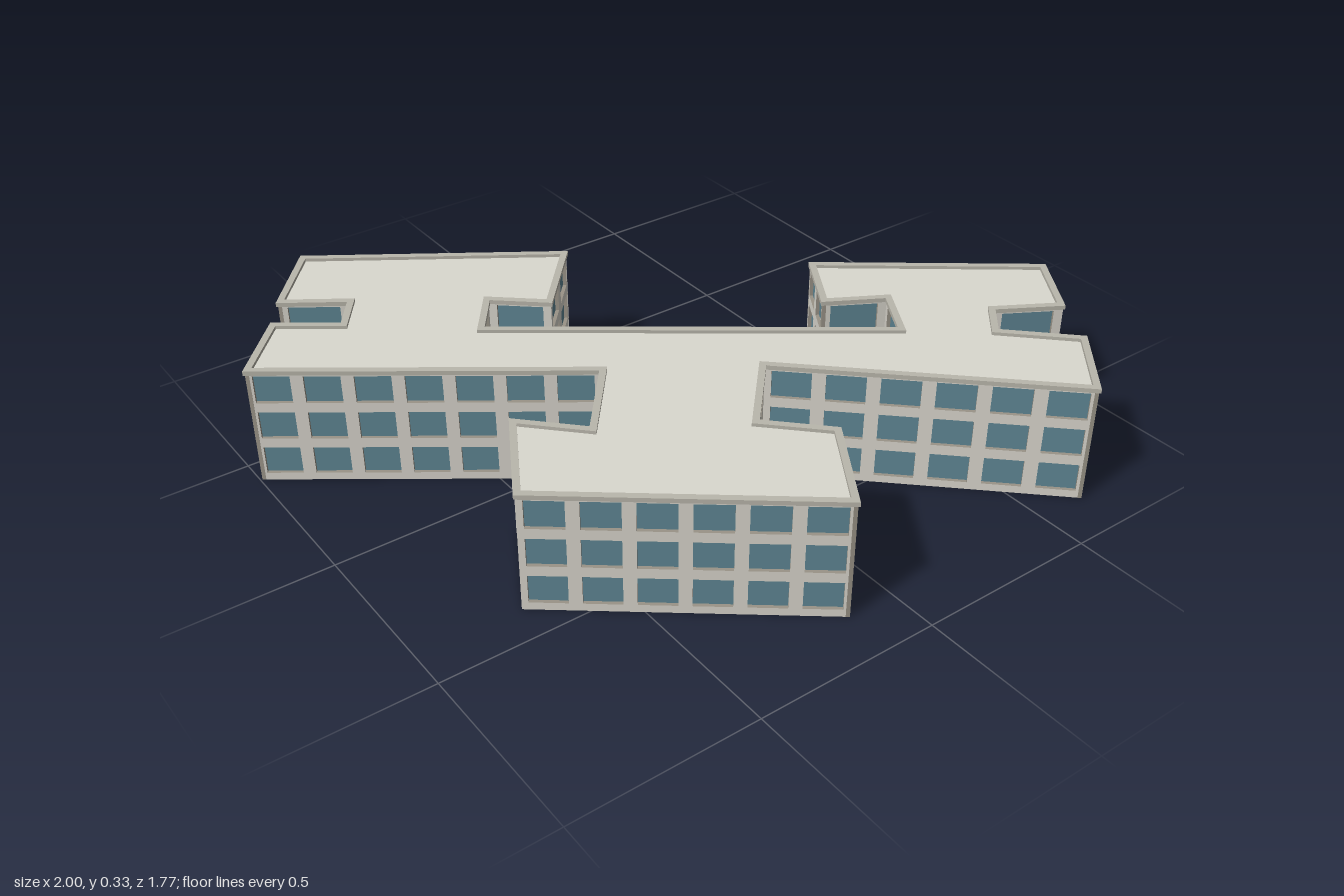
import * as THREE from 'three';

const material = (name, color) => {
  const m = new THREE.MeshStandardMaterial({ color, side: THREE.DoubleSide });
  m.name = name;
  return m;
};
const wallMat = material('pale concrete', 0xd9d6cd);
const revealMat = material('window reveal', 0x9a9488);
const glassMat = material('blue grey glass', 0x5f8694);
const roofMat = material('light grey roof', 0xdad9cf);
const rimMat = material('parapet grey', 0xbab7ac);

// Wall footprint (x, z), clockwise seen from above
const FOOTPRINT = [
  [-0.625, -0.88], [-0.02, -0.47], [-0.205, -0.26], [-0.33, -0.37], [-0.415, -0.255],
  [0.445, 0.38], [0.525, 0.245], [0.375, 0.16], [0.485, -0.02], [0.995, 0.368],
  [0.872, 0.55], [0.71, 0.455], [0.64, 0.535], [0.797, 0.692], [0.64, 0.876],
  [0.055, 0.312], [-0.112, 0.493], [0.022, 0.63], [-0.132, 0.868], [-0.724, 0.4],
  [-0.578, 0.145], [-0.444, 0.285], [-0.285, 0.092], [-0.995, -0.423], [-0.845, -0.594],
  [-0.697, -0.488], [-0.632, -0.58], [-0.786, -0.685],
].map(([x, z]) => new THREE.Vector2(x, z));

const WALL_TOP = 0.322, WALL_DEPTH = 0.01, FLOORS = 3, FLOOR_PITCH = 0.107;
const SILL = 0.021, WINDOW_HEIGHT = 0.079, WINDOW_PITCH = 0.13, WINDOW_SHARE = 0.74;

// Move every side of the outline inwards by the same distance
function inset(points, distance) {
  const n = points.length;
  const inward = (a, b) => {
    const d = b.clone().sub(a).normalize();
    return new THREE.Vector2(-d.y, d.x);
  };
  return points.map((p, i) => {
    const n1 = inward(points[(i + n - 1) % n], p);
    const n2 = inward(p, points[(i + 1) % n]);
    return p.clone().addScaledVector(n1.clone().add(n2), distance / (1 + n1.dot(n2)));
  });
}

const flat = (points) => points.map((p) => new THREE.Vector2(p.x, -p.y));

function rectangle(Type, x, y, w, h) {
  return new Type([[x, y], [x + w, y], [x + w, y + h], [x, y + h]].map((c) => new THREE.Vector2(...c)));
}

// One facade with a grid of recessed windows
function createFacade(a, b) {
  const facade = new THREE.Group();
  facade.name = 'facade';
  const length = a.distanceTo(b);
  const columns = Math.max(1, Math.round(length / WINDOW_PITCH));
  const pitch = length / columns;
  const width = pitch * WINDOW_SHARE;
  const wall = rectangle(THREE.Shape, 0, 0, length, WALL_TOP);

  const panes = [];
  for (let row = 0; row < FLOORS; row++) {
    for (let col = 0; col < columns; col++) {
      const box = [col * pitch + (pitch - width) / 2, SILL + row * FLOOR_PITCH, width, WINDOW_HEIGHT];
      wall.holes.push(rectangle(THREE.Path, ...box));
      panes.push(rectangle(THREE.Shape, ...box));
    }
  }
  const wallGeometry = new THREE.ExtrudeGeometry(wall, { depth: WALL_DEPTH, bevelEnabled: false });
  const wallMesh = new THREE.Mesh(wallGeometry, [wallMat, revealMat]);
  wallMesh.name = 'wall';
  wallMesh.position.z = -WALL_DEPTH;
  const glass = new THREE.Mesh(new THREE.ShapeGeometry(panes), glassMat);
  glass.name = 'windows';
  glass.position.z = -WALL_DEPTH;
  facade.add(wallMesh, glass);

  facade.position.set(b.x, 0, b.y);
  facade.rotation.y = Math.atan2(b.y - a.y, a.x - b.x);
  return facade;
}

export function createModel() {
  const model = new THREE.Group();
  model.name = 'officeBlock';

  // Facades around the footprint
  FOOTPRINT.forEach((p, i) => model.add(createFacade(p, FOOTPRINT[(i + 1) % FOOTPRINT.length])));

  // Flat roof
  const roof = new THREE.Mesh(new THREE.ShapeGeometry(new THREE.Shape(flat(FOOTPRINT))), roofMat);
  roof.name = 'roof';
  roof.rotation.x = -Math.PI / 2;
  roof.position.y = WALL_TOP;
  model.add(roof);

  // Raised parapet rim with a slight overhang
  const rimShape = new THREE.Shape(flat(inset(FOOTPRINT, -0.004)));
  rimShape.holes.push(new THREE.Path(flat(inset(FOOTPRINT, 0.014))));
  const rim = new THREE.Mesh(new THREE.ExtrudeGeometry(rimShape, { depth: 0.012, bevelEnabled: false }), rimMat);
  rim.name = 'parapet';
  rim.rotation.x = -Math.PI / 2;
  rim.position.y = 0.319;
  model.add(rim);

  return model;
}
